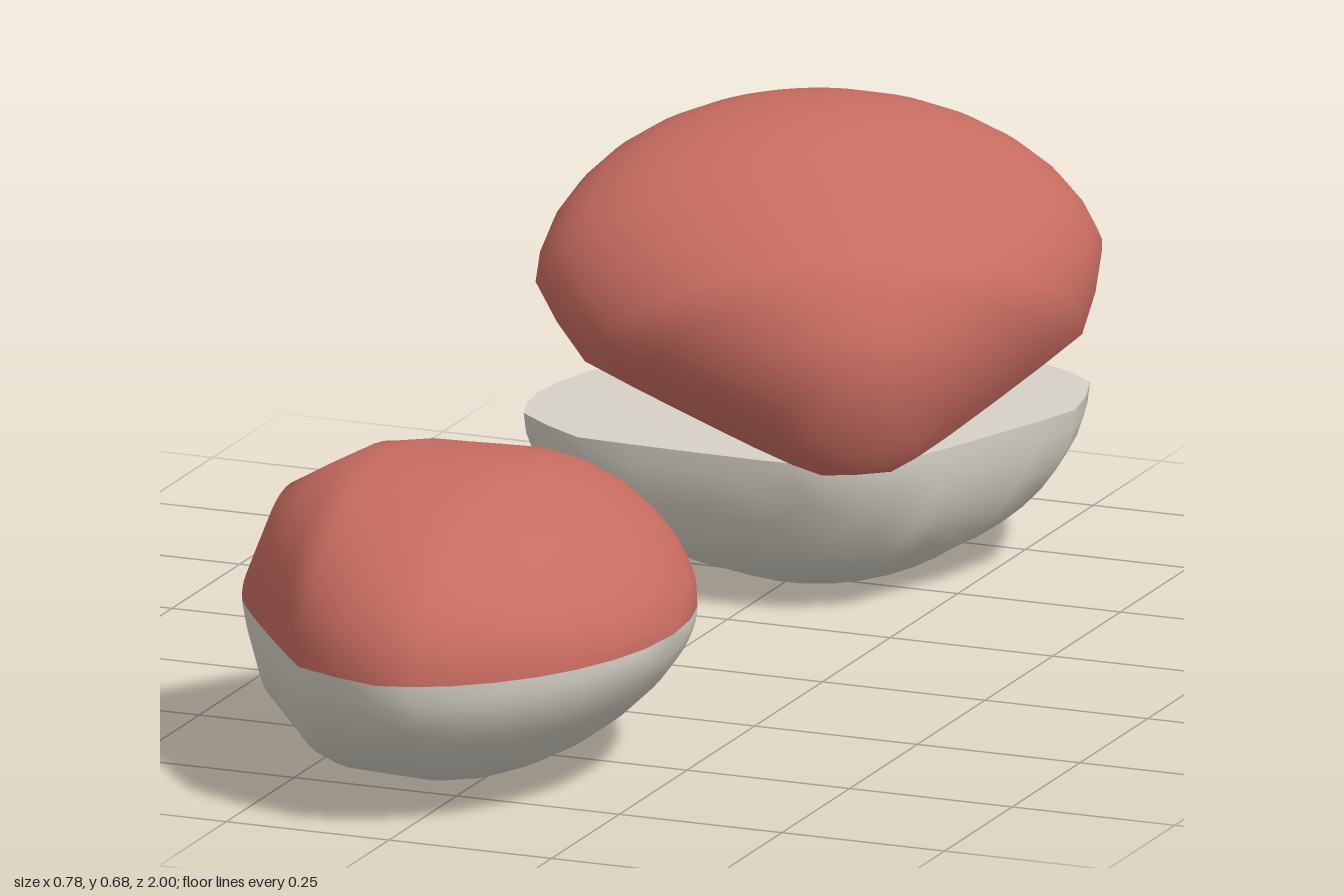
import * as THREE from 'three';
import { mergeVertices } from 'three/addons/utils/BufferGeometryUtils.js';

// Shell cross-sections from hinge to lip: x, half width, height
const SECTIONS = [
  [-0.378, 0, 0], [-0.376, 0.05, 0.04], [-0.355, 0.09, 0.085], [-0.322, 0.14, 0.16],
  [-0.27, 0.213, 0.19], [-0.21, 0.295, 0.222], [-0.16, 0.36, 0.225], [-0.09, 0.39, 0.223],
  [-0.02, 0.41, 0.222], [0.03, 0.396, 0.214], [0.08, 0.37, 0.196], [0.13, 0.329, 0.17],
  [0.175, 0.278, 0.137], [0.21, 0.222, 0.104], [0.24, 0.153, 0.067], [0.258, 0.085, 0.034],
  [0.266, 0, 0],
];
const HINGE_X = -0.376;
const STEPS = 24;

// Half-elliptic dome lofted through the sections
function domeGeometry() {
  const pos = [], index = [];
  for (const [x, w, h] of SECTIONS) {
    for (let j = 0; j <= STEPS; j++) {
      const t = Math.PI * j / STEPS;
      pos.push(x, h * Math.sin(t), w * Math.cos(t));
    }
  }
  const row = STEPS + 1;
  for (let i = 0; i < SECTIONS.length - 1; i++) {
    for (let j = 0; j < STEPS; j++) {
      const a = i * row + j, b = a + row;
      if (i > 0) index.push(a, b, a + 1);
      if (i < SECTIONS.length - 2) index.push(b, b + 1, a + 1);
      else index.push(a, b, a + 1);
    }
    if (i === 0) for (let j = 0; j < STEPS; j++) index.push(j, row + j, row + j + 1);
  }
  const g = new THREE.BufferGeometry();
  g.setAttribute('position', new THREE.Float32BufferAttribute(pos, 3));
  g.setIndex(index);
  const merged = mergeVertices(g, 1e-5);
  merged.computeVertexNormals();
  return merged;
}

// Flat face closing the dome along the rim
function rimGeometry() {
  const s = new THREE.Shape([
    ...SECTIONS.map(([x, w]) => new THREE.Vector2(x, w)),
    ...SECTIONS.slice(1, -1).reverse().map(([x, w]) => new THREE.Vector2(x, -w)),
  ]);
  return new THREE.ShapeGeometry(s).rotateX(Math.PI / 2);
}

export function createModel() {
  const red = new THREE.MeshStandardMaterial({ color: 0xc86c60 });
  red.name = 'shellRed';
  const cream = new THREE.MeshStandardMaterial({ color: 0xd6d2c6 });
  cream.name = 'shellCream';
  const dome = domeGeometry(), rim = rimGeometry();

  const makeValve = (name, material) => {
    const valve = new THREE.Group();
    valve.name = name;
    const outer = new THREE.Mesh(dome, material);
    outer.name = name + 'Dome';
    const inner = new THREE.Mesh(rim, material);
    inner.name = name + 'InnerFace';
    valve.add(outer, inner);
    return valve;
  };

  // Two halves hinged at the back of the shell
  const makeClam = (name, openAngle, hingeY) => {
    const clam = new THREE.Group();
    clam.name = name;
    const lower = makeValve('lowerShell', cream);
    lower.rotation.x = Math.PI;
    const hinge = new THREE.Group();
    hinge.name = 'upperHinge';
    hinge.position.set(HINGE_X, hingeY, 0);
    hinge.rotation.z = openAngle;
    const upper = makeValve('upperShell', red);
    upper.position.x = -HINGE_X;
    hinge.add(upper);
    clam.add(lower, hinge);
    return clam;
  };

  const closedClam = makeClam('closedClam', 0, 0);
  closedClam.position.set(0, 0.23, 0.59);

  const openClam = makeClam('openClam', THREE.MathUtils.degToRad(40.5), -0.014);
  openClam.position.set(-0.033, 0.24, -0.612);
  openClam.rotation.y = THREE.MathUtils.degToRad(124);

  // Soft foot resting over the lip
  const foot = new THREE.Mesh(new THREE.SphereGeometry(1, 32, 20), cream);
  foot.name = 'foot';
  foot.scale.set(0.205, 0.063, 0.185);
  foot.position.set(0.23, 0, 0);
  openClam.add(foot);

  const model = new THREE.Group();
  model.name = 'clams';
  model.add(closedClam, openClam);
  return model;
}
